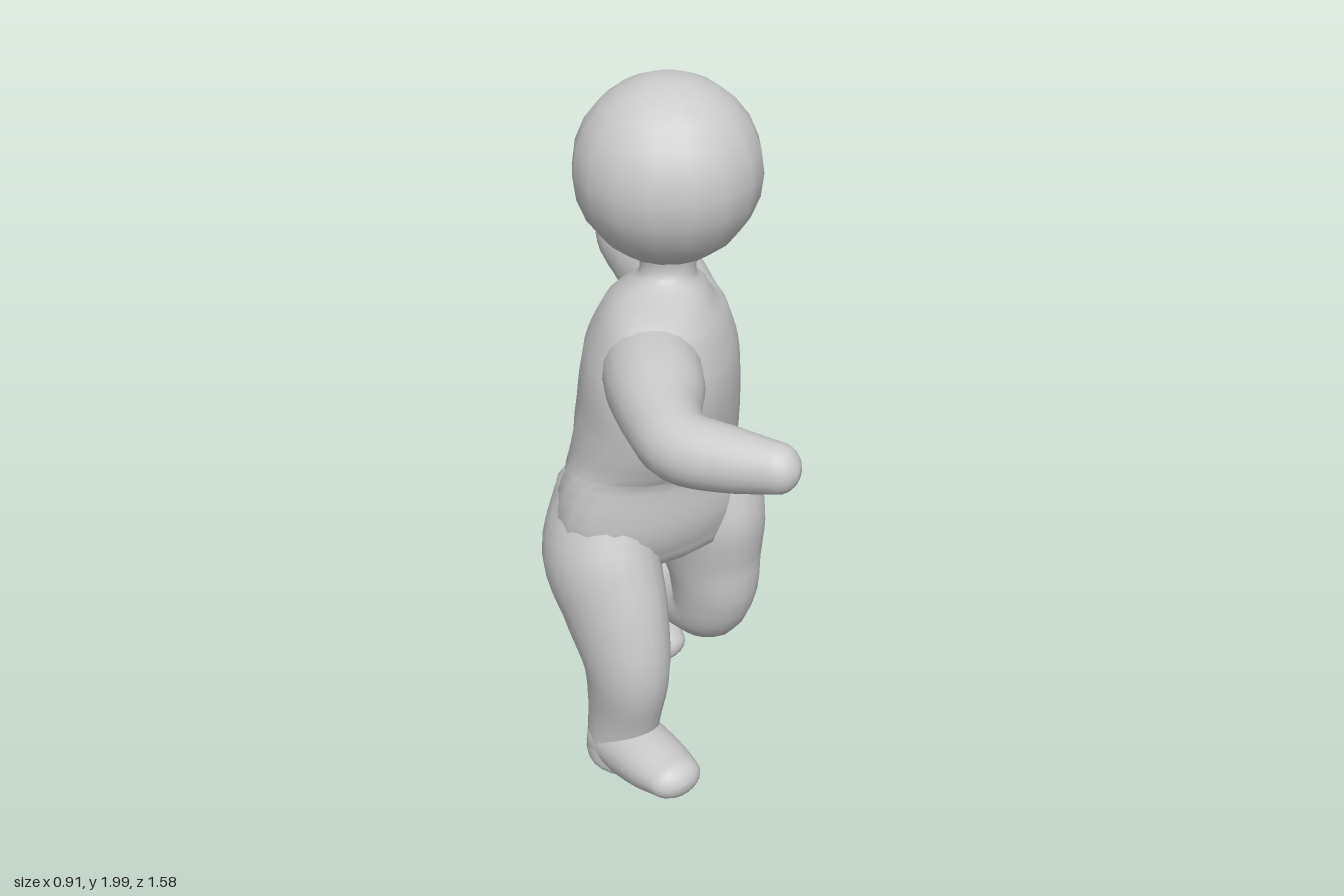
import * as THREE from 'three';

const SIDES = 20;
const X = new THREE.Vector3(1, 0, 0);
const Y = new THREE.Vector3(0, 1, 0);

// Skin elliptical sections along a smooth path, with rounded ends.
// Station: [x, y, z, radius along ref, radius across, twist in degrees].
// caps: how far the first and last end bulge out.
function loft(stations, ref, caps) {
  const path = new THREE.CatmullRomCurve3(stations.map(s => new THREE.Vector3(s[0], s[1], s[2])));
  const size = new THREE.CatmullRomCurve3(
    stations.map(s => new THREE.Vector3(s[3], s[4], THREE.MathUtils.degToRad(s[5] || 0))), false, 'catmullrom', 0.5);
  const rings = [];
  const capSteps = 5;
  const steps = (stations.length - 1) * 4;
  for (let i = capSteps; i > 0; i--) rings.push([0, -i / capSteps]);
  for (let i = 0; i <= steps; i++) rings.push([i / steps, 0]);
  for (let i = 1; i <= capSteps; i++) rings.push([1, i / capSteps]);

  const positions = [];
  const index = [];
  rings.forEach(([t, cap], i) => {
    const phi = cap * Math.PI / 2;
    const shrink = Math.max(Math.cos(phi), 0.01);
    const tangent = path.getTangent(t);
    const u = ref.clone().addScaledVector(tangent, -ref.dot(tangent)).normalize();
    const v = tangent.clone().cross(u);
    const r = size.getPoint(t);
    u.applyAxisAngle(tangent, r.z);
    v.applyAxisAngle(tangent, r.z);
    const centre = path.getPoint(t).addScaledVector(tangent, Math.sin(phi) * (cap < 0 ? caps[0] : caps[1]));
    for (let j = 0; j < SIDES; j++) {
      const a = j / SIDES * Math.PI * 2;
      const p = centre.clone()
        .addScaledVector(u, Math.cos(a) * r.x * shrink)
        .addScaledVector(v, Math.sin(a) * r.y * shrink);
      positions.push(p.x, p.y, p.z);
      if (i === rings.length - 1) continue;
      const k = (j + 1) % SIDES;
      const A = i * SIDES + j, B = i * SIDES + k;
      index.push(A, B, B + SIDES, A, B + SIDES, A + SIDES);
    }
  });
  const geometry = new THREE.BufferGeometry();
  geometry.setAttribute('position', new THREE.Float32BufferAttribute(positions, 3));
  geometry.setIndex(index);
  geometry.computeVertexNormals();
  return geometry;
}

export function createModel() {
  const model = new THREE.Group();
  model.name = 'runningFigure';
  const skin = new THREE.MeshStandardMaterial({ color: 0xcccccc });
  const add = (name, geometry) => {
    const mesh = new THREE.Mesh(geometry, skin);
    mesh.name = name;
    model.add(mesh);
    return mesh;
  };

  // Head
  add('head', new THREE.SphereGeometry(0.247, 16, 12)).position.set(-0.03, 1.753, -0.012);

  // Torso and neck, twisting from the hips up to the shoulders
  add('torso', loft([
    [-0.09, 0.72, 0.00, 0.29, 0.17, 0],
    [-0.09, 0.82, 0.00, 0.31, 0.20, 8],
    [-0.07, 0.95, -0.02, 0.31, 0.21, 28],
    [-0.055, 1.10, -0.02, 0.34, 0.215, 42],
    [-0.052, 1.25, -0.015, 0.35, 0.205, 46],
    [-0.045, 1.36, -0.01, 0.30, 0.165, 46],
    [-0.035, 1.425, -0.01, 0.18, 0.11, 46],
    [-0.032, 1.47, -0.01, 0.08, 0.075, 46],
    [-0.03, 1.56, -0.01, 0.085, 0.085, 46],
  ], X, [0.08, 0.03]));

  // Right arm, bent forwards
  add('rightArm', loft([
    [-0.17, 1.28, 0.10, 0.14, 0.13],
    [-0.26, 1.30, 0.25, 0.12, 0.125],
    [-0.335, 1.30, 0.38, 0.10, 0.10],
    [-0.368, 1.295, 0.50, 0.092, 0.09],
    [-0.32, 1.30, 0.62, 0.082, 0.08],
    [-0.262, 1.31, 0.735, 0.064, 0.06],
  ], Y, [0.08, 0.058]));

  // Left arm, stretched backwards
  add('leftArm', loft([
    [0.07, 1.27, -0.10, 0.14, 0.13],
    [0.14, 1.29, -0.26, 0.125, 0.115],
    [0.165, 1.305, -0.40, 0.103, 0.095],
    [0.195, 1.325, -0.53, 0.09, 0.085],
    [0.29, 1.345, -0.64, 0.075, 0.072],
    [0.395, 1.365, -0.735, 0.06, 0.055],
  ], Y, [0.08, 0.055]));

  // Right leg, standing
  add('rightLeg', loft([
    [-0.25, 0.86, -0.01, 0.12, 0.16],
    [-0.28, 0.70, 0.015, 0.15, 0.185],
    [-0.28, 0.55, 0.08, 0.135, 0.17],
    [-0.28, 0.40, 0.13, 0.113, 0.14],
    [-0.272, 0.25, 0.11, 0.098, 0.118],
    [-0.268, 0.15, 0.092, 0.096, 0.108],
    [-0.27, 0.06, 0.085, 0.098, 0.105],
  ], X, [0.10, 0.05]));
  add('rightFoot', loft([
    [-0.27, 0.105, 0.06, 0.095, 0.095],
    [-0.27, 0.11, 0.16, 0.098, 0.09],
    [-0.272, 0.12, 0.26, 0.094, 0.076],
    [-0.275, 0.13, 0.345, 0.08, 0.056],
  ], X, [0.06, 0.055]));

  // Left leg, knee bent with the shin lifted behind
  add('leftLeg', loft([
    [0.07, 0.88, -0.01, 0.12, 0.17],
    [0.09, 0.72, 0.00, 0.15, 0.195],
    [0.10, 0.58, 0.01, 0.135, 0.168],
    [0.105, 0.47, 0.02, 0.12, 0.143],
    [0.105, 0.37, -0.01, 0.107, 0.118],
    [0.10, 0.33, -0.11, 0.096, 0.092],
    [0.10, 0.32, -0.21, 0.092, 0.086],
    [0.10, 0.295, -0.33, 0.092, 0.082],
  ], X, [0.10, 0.075]));
  add('leftFoot', loft([
    [0.10, 0.30, -0.325, 0.092, 0.08],
    [0.10, 0.20, -0.312, 0.092, 0.075],
    [0.10, 0.125, -0.285, 0.09, 0.068],
    [0.10, 0.085, -0.215, 0.072, 0.047],
  ], X, [0.05, 0.045]));

  return model;
}
